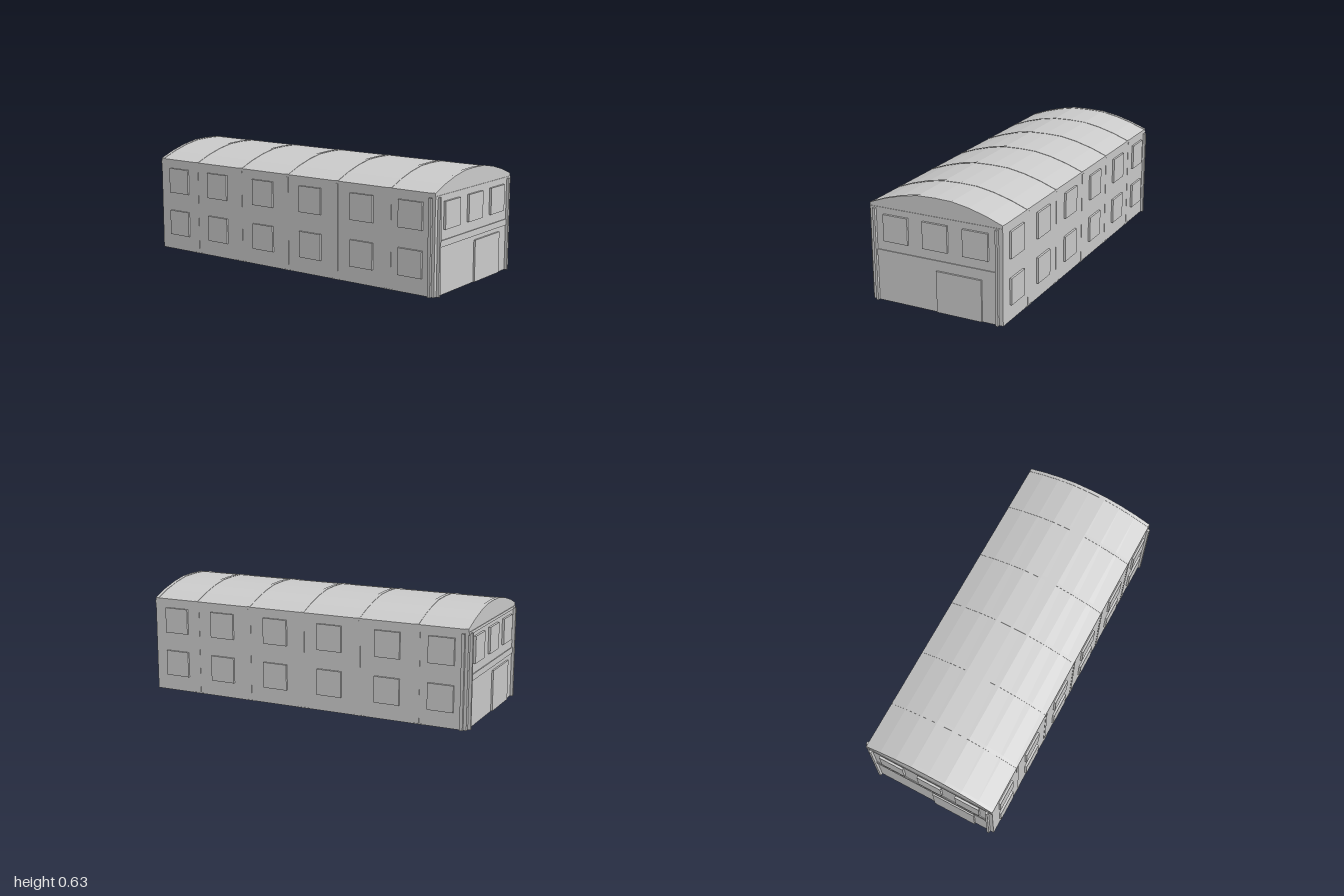
import * as THREE from 'three';

const HALF_X = 0.972, HALF_Z = 0.393, EAVE = 0.535;
// Right half of the faceted roof arc: [z, y]
const ARC = [[0, 0.632], [0.1, 0.629], [0.2, 0.611], [0.3, 0.583], [HALF_Z, 0.548]];

const material = new THREE.MeshStandardMaterial({ color: 0xcccccc, flatShading: true });

// Box given by its limits on each axis
function box(parent, name, [x0, x1], [y0, y1], [z0, z1]) {
  const mesh = new THREE.Mesh(new THREE.BoxGeometry(x1 - x0, y1 - y0, z1 - z0), material);
  mesh.position.set((x0 + x1) / 2, (y0 + y1) / 2, (z0 + z1) / 2);
  mesh.name = name;
  parent.add(mesh);
  return mesh;
}

// Full roof arc from one eave to the other, lifted by a given amount
function arcPoints(lift) {
  const left = ARC.slice(1).reverse().map(([z, y]) => [-z, y + lift]);
  return [...left, ...ARC.map(([z, y]) => [z, y + lift])];
}

// Extrude an outline drawn in the z-y plane along x
function extrudeAlongX(parent, name, outline, x0, x1) {
  const shape = new THREE.Shape(outline.map(([z, y]) => new THREE.Vector2(-z, y)));
  const geometry = new THREE.ExtrudeGeometry(shape, { depth: x1 - x0, bevelEnabled: false });
  geometry.rotateY(Math.PI / 2);
  // After the turn the shape's horizontal axis runs along -z, so z is as drawn
  geometry.translate(x0, 0, 0);
  const mesh = new THREE.Mesh(geometry, material);
  mesh.name = name;
  parent.add(mesh);
}

// Front long wall details (+z); the back is the same turned half way round
function longSide() {
  const side = new THREE.Group();
  for (const x of [-0.825, -0.517, -0.172, 0.168, 0.515, 0.825]) {
    for (const y of [0.165, 0.422]) {
      box(side, 'sideWindow', [x - 0.074, x + 0.074], [y - 0.074, y + 0.074], [HALF_Z - 0.01, 0.405]);
    }
  }
  // Shallow wall ribs
  for (const x of [-0.683, -0.34, 0.002, 0.345, 0.693]) {
    box(side, 'wallRib', [x - 0.01, x + 0.01], [0, EAVE], [HALF_Z - 0.01, HALF_Z + 0.0015]);
    box(side, 'ribFoot', [x - 0.033, x + 0.033], [0, 0.005], [HALF_Z - 0.01, HALF_Z + 0.002]);
  }
  // Corner post beside one end only
  box(side, 'cornerPost', [0.938, 0.955], [0, 0.525], [HALF_Z - 0.01, 0.407]);
  return side;
}

// End wall details (+x); the other end is the same turned half way round
function endSide() {
  const end = new THREE.Group();
  const inner = HALF_X - 0.01;
  for (const z of [0.236, -0.002, -0.239]) {
    box(end, 'endWindow', [inner, 0.985], [0.348, 0.497], [z - 0.074, z + 0.074]);
  }
  box(end, 'door', [inner, 0.982], [0.002, 0.235], [-0.272, -0.006]);
  box(end, 'wallBand', [inner, 0.977], [0.258, 0.293], [-0.363, 0.363]);
  box(end, 'eaveBand', [inner, 0.975], [0.517, 0.533], [-HALF_Z, HALF_Z]);
  for (const s of [-1, 1]) {
    box(end, 'endPost', [inner, 0.988], [0, 0.525], [s * 0.363 - 0.007, s * 0.363 + 0.007]);
  }
  return end;
}

export function createModel() {
  const model = new THREE.Group();
  model.name = 'hall';

  // Solid walls and roof
  box(model, 'walls', [-HALF_X, HALF_X], [0, EAVE], [-HALF_Z, HALF_Z]);
  extrudeAlongX(model, 'roof', [[HALF_Z, EAVE], [-HALF_Z, EAVE], ...arcPoints(0)], -HALF_X, HALF_X);

  // Thin arched ribs over the roof
  for (const x of [-0.962, -0.683, -0.34, 0.002, 0.345, 0.693, 0.962]) {
    const outline = [...arcPoints(0.002), ...arcPoints(-0.008).reverse()];
    extrudeAlongX(model, 'roofRib', outline, x - 0.01, x + 0.01);
  }

  // Opposite sides, each a half turn of the other
  for (const turn of [0, Math.PI]) {
    const side = longSide(), end = endSide();
    side.name = turn ? 'backDetails' : 'frontDetails';
    end.name = turn ? 'rightEndDetails' : 'leftEndDetails';
    side.rotation.y = end.rotation.y = turn;
    model.add(side, end);
  }
  return model;
}
